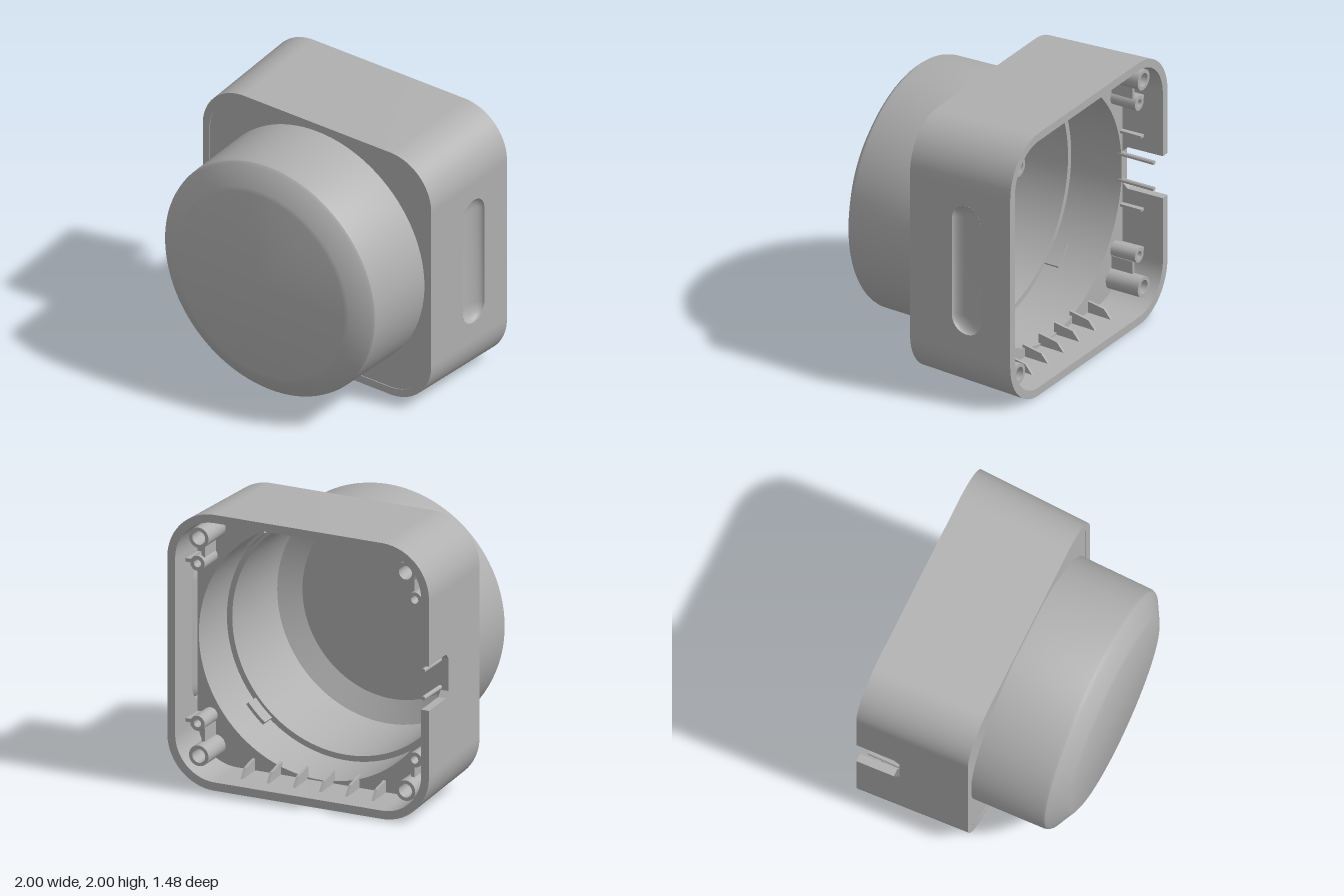
import * as THREE from 'three';
import { toCreasedNormals } from 'three/addons/utils/BufferGeometryUtils.js';

const BACK = -0.74, FRONT = 0.09, WALL = 0.06, R = 0.36;
const S = 1 - R;      // half length of the straight part of each wall
const FLOOR = -0.42;  // inner floor around the round opening

export function createModel() {
  const model = new THREE.Group();
  const housing = new THREE.Group();
  housing.name = 'housing';
  housing.position.y = 1;
  model.add(housing);

  const grey = new THREE.MeshStandardMaterial({ color: 0xb0b0b0, side: THREE.DoubleSide });
  grey.name = 'grey plastic';

  const add = (name, geo, crease = 0.5) => {
    const mesh = new THREE.Mesh(toCreasedNormals(geo, crease), grey);
    mesh.name = name;
    housing.add(mesh);
  };

  // Draft angle: the body narrows slightly toward the front
  const taper = (geo) => {
    const p = geo.attributes.position;
    for (let i = 0; i < p.count; i++) {
      const f = 1 - 0.03 * (p.getZ(i) - BACK) / (FRONT - BACK);
      p.setXY(i, p.getX(i) * f, p.getY(i) * f);
    }
    return geo;
  };
  const extrude = (shape, depth, curveSegments = 12) =>
    new THREE.ExtrudeGeometry(shape, { depth, curveSegments, bevelEnabled: false });

  // Top and bottom walls with their rounded corners
  for (const [name, turn] of [['topWall', 0], ['bottomWall', Math.PI]]) {
    const s = new THREE.Shape();
    s.moveTo(1, S);
    s.absarc(S, S, R, 0, Math.PI / 2, false);
    s.absarc(-S, S, R, Math.PI / 2, Math.PI, false);
    s.lineTo(-1 + WALL, S);
    s.absarc(-S, S, R - WALL, Math.PI, Math.PI / 2, true);
    s.absarc(S, S, R - WALL, Math.PI / 2, 0, true);
    s.closePath();
    add(name, taper(extrude(s, FRONT - BACK).translate(0, 0, BACK).rotateZ(turn)));
  }

  // Side walls, drawn with -z across and y up
  const sideWall = (name, shape, x) =>
    add(name, taper(extrude(shape, WALL).rotateY(Math.PI / 2).translate(x, 0, 0)));
  const polygon = (pts) => new THREE.Shape(pts.map(([x, y]) => new THREE.Vector2(x, y)));

  const slotR = 0.118, slotHalf = 0.378, slotZ = -0.375;
  const left = polygon([[-FRONT, -S], [-BACK, -S], [-BACK, S], [-FRONT, S]]);
  const slot = new THREE.Path();
  slot.absarc(-slotZ, slotHalf, slotR, 0, Math.PI, false);
  slot.absarc(-slotZ, -slotHalf, slotR, Math.PI, 2 * Math.PI, false);
  slot.closePath();
  left.holes.push(slot);
  sideWall('leftWall', left, 1 - WALL);

  const right = polygon([[-FRONT, -S], [-BACK, -S], [-BACK, -0.16], [0.46, -0.16], [0.42, -0.12],
    [0.42, 0.12], [0.46, 0.16], [-BACK, 0.16], [-BACK, S], [-FRONT, S]]);
  sideWall('rightWallWithNotch', right, -1);

  // Hollow finger grip: shrinking stadium outlines sinking into the wall
  const pos = [], idx = [], rings = 8, half = 13, n = half * 2;
  for (let k = 0; k <= rings; k++) {
    const a = (k / rings) * Math.PI / 2;
    for (let j = 0; j < n; j++) {
      const end = j < half ? 1 : -1;
      const t = Math.PI * ((j % half) / (half - 1)) + (end < 0 ? Math.PI : 0);
      const r = slotR * Math.cos(a);
      pos.push(1 - 0.055 * Math.sin(a), end * slotHalf + r * Math.sin(t), slotZ - r * Math.cos(t));
      if (k < rings) {
        const p = k * n + j, q = k * n + (j + 1) % n;
        idx.push(p, q, p + n, q, q + n, p + n);
      }
    }
  }
  const grip = new THREE.BufferGeometry();
  grip.setAttribute('position', new THREE.Float32BufferAttribute(pos, 3));
  grip.setIndex(idx);
  add('gripRecess', taper(grip), 0.7);

  // Rounded square plates with a round opening
  const plate = (name, h, corner, z0, z1) => {
    const s = new THREE.Shape(), c = h - corner;
    for (const [i, sx, sy] of [[0, 1, 1], [1, -1, 1], [2, -1, -1], [3, 1, -1]]) {
      s.absarc(sx * c, sy * c, corner, i * Math.PI / 2, (i + 1) * Math.PI / 2, false);
    }
    s.closePath();
    s.holes.push(new THREE.Path().absarc(0, 0, 0.93, 0, Math.PI * 2, true));
    add(name, taper(extrude(s, z1 - z0, 48).translate(0, 0, z0)));
  };
  plate('frontPlate', 0.97, 0.34, 0.037, 0.084);
  plate('innerCollar', 0.942, 0.302, FLOOR, 0.037);

  // Turned parts share one helper: profile of [radius, z]
  const turned = (profile, segments) =>
    new THREE.LatheGeometry(profile.map(([r, z]) => new THREE.Vector2(r, z)), segments).rotateX(Math.PI / 2);

  // Round cup with chamfered closed end and a lip inside the housing
  add('frontCup', turned([[0.91, -0.02], [0.908, 0.09], [0.896, 0.61], [0.89, 0.632], [0.875, 0.65],
    [0.74, 0.728], [0.71, 0.74], [0, 0.74], [0, 0.70], [0.69, 0.70], [0.84, 0.615],
    [0.865, -0.02], [0.91, -0.02]], 96), 0.4);

  // Small tabs holding the cup lip
  for (let i = 0; i < 4; i++) {
    const a = Math.PI / 4 + i * Math.PI / 2;
    const tab = new THREE.Shape();
    tab.absarc(0, 0, 0.93, a - 0.1, a + 0.1, false);
    tab.absarc(0, 0, 0.885, a + 0.1, a - 0.1, true);
    tab.closePath();
    add('lipTab', extrude(tab, 0.12).translate(0, 0, -0.13));
  }

  // Screw bosses in every corner, each with a web to the wall
  const boss = (name, x, y, outer, inner, end) =>
    add(name, turned([[outer, end], [outer, FLOOR], [inner, FLOOR], [inner, end], [outer, end]], 20)
      .translate(x, y, 0));
  const web = (w, h, x, y) =>
    add('bossWeb', new THREE.BoxGeometry(w, h, 0.18).translate(x, y, FLOOR - 0.08));
  for (const sx of [1, -1]) for (const sy of [1, -1]) {
    boss('cornerBoss', sx * 0.79, sy * 0.79, 0.075, 0.05, -0.68);
    boss('smallBoss', sx * 0.83, sy * 0.58, 0.055, 0.028, -0.62);
    web(0.07, 0.025, sx * 0.91, sy * 0.58);
    web(0.025, 0.1, sx * 0.8, sy * 0.67);
  }

  // Stiffening ribs along the top and bottom walls
  const ribShape = polygon([[0.4, 0.955], [0.62, 0.955], [0.55, 0.87], [0.4, 0.84]]);
  for (const turn of [0, Math.PI]) for (let i = 0; i < 6; i++) {
    add('stiffeningRib', extrude(ribShape, 0.02).rotateY(Math.PI / 2)
      .translate(-0.51 + i * 0.2, 0, 0).rotateZ(turn));
  }

  // Pins and ribs beside the cable notch
  for (const sy of [1, -1]) {
    add('notchPin', new THREE.CylinderGeometry(0.016, 0.016, 0.28, 10).rotateX(Math.PI / 2)
      .translate(-0.925, sy * 0.1, -0.54));
    add('notchRib', new THREE.BoxGeometry(0.05, 0.02, 0.18).translate(-0.92, sy * 0.28, -0.5));
  }
  return model;
}
